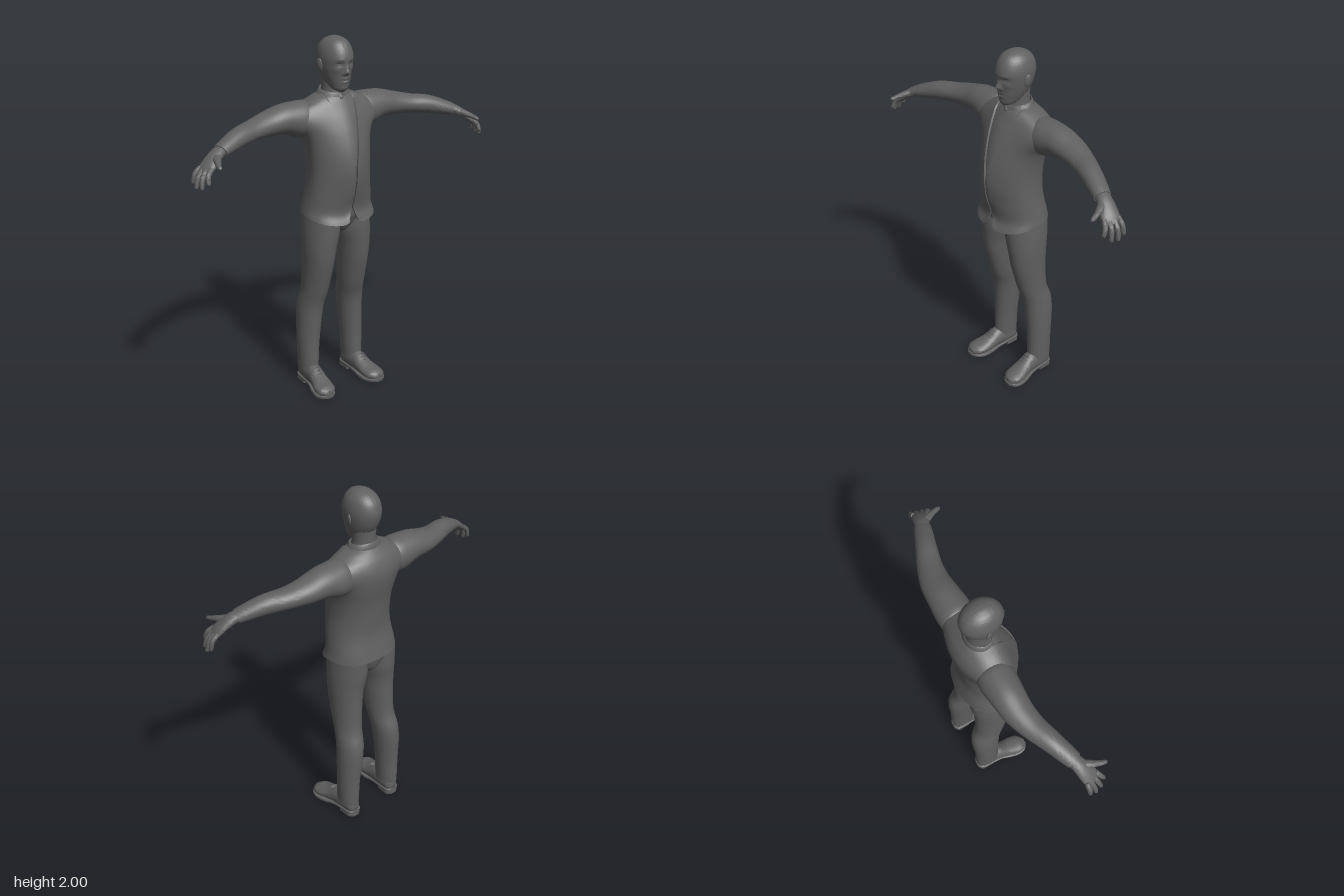
import * as THREE from 'three';
import { toCreasedNormals } from 'three/addons/utils/BufferGeometryUtils.js';

const V = (x, y, z) => new THREE.Vector3(x, y, z);
const Y = V(0, 1, 0), Z = V(0, 0, 1);
const grey = new THREE.MeshStandardMaterial({ color: 0x606060 });
const cloth = new THREE.MeshStandardMaterial({ color: 0x606060, side: THREE.DoubleSide });

// Lofts superellipse sections along rows of [x, y, z, halfWidth, halfDepth, exponent = 2].
// normal: fixed section normal (default: path tangent); ref: direction of the half depth.
// opening(y): half width of a front slit; rule(v): moves a finished vertex.
function sweep(rows, { normal, ref = Z, n = 32, steps = 6, opening, rule, crease = 1 } = {}) {
  const centres = new THREE.CatmullRomCurve3(rows.map(r => V(r[0], r[1], r[2])), false, 'catmullrom', 0.5);
  const sizes = new THREE.CatmullRomCurve3(rows.map(r => V(r[3], r[4], r[5] ?? 2)), false, 'catmullrom', 0.5);
  const m = (rows.length - 1) * steps, cols = opening ? n + 1 : n;
  const pos = [], idx = [];
  const add = p => { if (rule) rule(p); pos.push(p.x, p.y, p.z); };
  const power = (t, e) => Math.sign(t) * Math.pow(Math.abs(t), 2 / e);
  for (let i = 0; i <= m; i++) {
    const c = centres.getPoint(i / m), s = sizes.getPoint(i / m);
    const dir = normal ?? centres.getTangent(i / m);
    const v = ref.clone().addScaledVector(dir, -ref.dot(dir)).normalize();
    const u = dir.clone().cross(v);
    const gap = opening ? Math.asin(Math.pow(Math.min(opening(c.y) / s.x, 0.97), s.z / 2)) : 0;
    for (let j = 0; j < cols; j++) {
      // the outermost columns of an open section turn inwards as a rim
      const k = opening ? THREE.MathUtils.clamp((j - 1) / (n - 2), 0, 1) : j / n;
      const inset = opening && (j === 0 || j === n) ? 0.013 : 0;
      const a = gap + k * 2 * (Math.PI - gap);
      add(c.clone()
        .addScaledVector(u, Math.max(s.x - inset, 0.001) * power(Math.sin(a), s.z))
        .addScaledVector(v, Math.max(s.y - inset, 0.001) * power(Math.cos(a), s.z)));
    }
  }
  for (let i = 0; i < m; i++) for (let j = 0; j < n; j++) {
    const k = (j + 1) % cols, a = i * cols + j, b = i * cols + k;
    idx.push(a, b, b + cols, a, b + cols, a + cols);
  }
  if (!opening) {
    const lo = pos.length / 3;
    add(centres.getPoint(0));
    add(centres.getPoint(1));
    for (let j = 0; j < n; j++) {
      const k = (j + 1) % n;
      idx.push(lo, k, j, lo + 1, m * n + j, m * n + k);
    }
  }
  const g = new THREE.BufferGeometry();
  g.setAttribute('position', new THREE.Float32BufferAttribute(pos, 3));
  g.setIndex(idx);
  return toCreasedNormals(g, crease);
}

// Body rule: narrower front, flare into the sleeves, hem lower at the front with rounded corners
function shapeBody(p) {
  const hem = THREE.MathUtils.clamp((1.2 - p.y) / 0.15, 0, 1), ax = Math.abs(p.x);
  if (p.z > 0) p.z *= 1 - 1.5 * ax * (1 - hem);
  p.x *= 1 + 0.3 * Math.exp(-(((p.y - 1.595) / 0.075) ** 2)) * THREE.MathUtils.smoothstep(ax, 0.08, 0.2);
  p.y -= hem * (p.z > 0 ? 0.25 * p.z : 0.02 * p.z);
  if (p.z > 0) p.y += hem * 0.04 * Math.max(0, 1 - ax / 0.07) ** 2;
}

export function createModel() {
  const model = new THREE.Group();
  const part = (name, geometry, parent = model, material = grey) => {
    const mesh = new THREE.Mesh(geometry, material);
    mesh.name = name;
    parent.add(mesh);
    return mesh;
  };
  const ball = (name, x, y, z, sx, sy, sz, parent) => {
    const b = part(name, new THREE.SphereGeometry(1, 20, 14), parent);
    b.position.set(x, y, z);
    b.scale.set(sx, sy, sz);
    return b;
  };

  // Shirt and jacket share one body profile
  const body = [
    [0, 1.05, -0.015, 0.2, 0.16, 2.3], [0, 1.1, -0.02, 0.19, 0.146, 2.3],
    [0, 1.2, 0.003, 0.176, 0.153, 2.3], [0, 1.3, 0.007, 0.169, 0.162, 2.2],
    [0, 1.4, -0.003, 0.174, 0.162, 2.2], [0, 1.5, -0.027, 0.19, 0.157, 2.2],
    [0, 1.58, -0.047, 0.197, 0.142, 2.2], [0, 1.64, -0.055, 0.18, 0.115, 2.2],
    [0, 1.68, -0.052, 0.13, 0.088, 2.1], [0, 1.702, -0.05, 0.08, 0.068, 2],
  ];
  const grown = d => body.map(r => [r[0], r[1], r[2], r[3] + d, r[4] + d, r[5]]);
  part('shirt', sweep(grown(-0.004).slice(1), { normal: Y, n: 48, rule: shapeBody }));
  const slit = y => 0.004 + (y > 1.33 ? 0.083 * (y - 1.33) / 0.37 : Math.max(0, 1.1 - y) * 0.5);
  part('jacket', sweep(grown(0.007), { normal: Y, n: 72, opening: slit, rule: shapeBody }), model, cloth);
  part('collar', sweep([
    [0, 1.685, -0.05, 0.098, 0.08], [0, 1.705, -0.05, 0.09, 0.076],
    [0, 1.722, -0.05, 0.077, 0.07], [0, 1.715, -0.05, 0.069, 0.066],
  ], { normal: Y, n: 40, steps: 4, opening: () => 0.012, rule: p => { p.y -= 0.15 * (p.z + 0.06); } }), model, cloth);
  ball('collarButton', 0, 1.682, 0.03, 0.011, 0.011, 0.006);

  // Head: facial relief is a sum of soft bumps [x, y, widthX, widthY, height]
  const bumps = [
    [0, 1.823, 0.012, 0.013, 0.021], [0, 1.845, 0.009, 0.02, 0.013],
    [0.013, 1.817, 0.007, 0.008, 0.007], [0.034, 1.867, 0.018, 0.012, -0.008],
    [0.034, 1.889, 0.02, 0.008, 0.003], [0, 1.787, 0.018, 0.006, 0.005],
    [0, 1.778, 0.02, 0.003, -0.004], [0, 1.769, 0.015, 0.006, 0.005],
    [0, 1.738, 0.018, 0.012, 0.004], [0.05, 1.835, 0.016, 0.014, 0.003],
  ];
  const head = new THREE.Group();
  head.name = 'head';
  model.add(head);
  part('skull', sweep([
    [0, 1.716, 0.03, 0.018, 0.018], [0, 1.73, 0.012, 0.043, 0.046],
    [0, 1.76, -0.012, 0.06, 0.077], [0, 1.8, -0.026, 0.075, 0.095],
    [0, 1.85, -0.034, 0.086, 0.109], [0, 1.9, -0.035, 0.089, 0.115],
    [0, 1.95, -0.036, 0.077, 0.098], [0, 1.981, -0.033, 0.053, 0.068],
    [0, 1.996, -0.032, 0.023, 0.031], [0, 2, -0.032, 0.004, 0.005],
  ], {
    normal: Y, n: 96, steps: 10, crease: 1.4,
    rule: p => {
      if (p.z < 0) return;
      const { x, y } = p;
      for (const [bx, by, wx, wy, h] of bumps)
        p.z += h * Math.exp(-(((Math.abs(x) - bx) / wx) ** 2) - ((y - by) / wy) ** 2);
    },
  }), head);
  part('neck', sweep([[0, 1.66, -0.05, 0.073, 0.068], [0, 1.72, -0.052, 0.062, 0.063], [0, 1.79, -0.052, 0.062, 0.064]],
    { normal: Y }), head);

  // Seat of the trousers
  part('hips', sweep([
    [0, 0.92, -0.035, 0.012, 0.05], [0, 0.945, -0.034, 0.04, 0.085], [0, 0.975, -0.034, 0.095, 0.108],
    [0, 1.01, -0.033, 0.165, 0.122], [0, 1.05, -0.03, 0.19, 0.133, 2.3], [0, 1.12, -0.025, 0.178, 0.135, 2.3],
  ], { normal: Y, n: 40 }));

  for (const s of [1, -1]) {
    const side = s > 0 ? 'left' : 'right';
    const mirror = rows => rows.map(r => [r[0] * s, ...r.slice(1)]);
    const group = name => {
      const g = new THREE.Group();
      g.name = side + name;
      model.add(g);
      return g;
    };

    // Ears and eyes
    ball(side + 'Ear', s * 0.089, 1.855, -0.04, 0.009, 0.034, 0.02, head).rotation.set(-0.15, s * -0.3, s * -0.12);
    ball(side + 'Eye', s * 0.034, 1.866, 0.052, 0.015, 0.006, 0.0085, head);

    // Sleeve
    const arm = group('Arm');
    part('sleeve', sweep(mirror([
      [0.08, 1.595, -0.063, 0.07, 0.06], [0.15, 1.575, -0.065, 0.09, 0.092],
      [0.21, 1.578, -0.067, 0.098, 0.098], [0.3, 1.589, -0.069, 0.09, 0.081],
      [0.4, 1.579, -0.065, 0.08, 0.065], [0.5, 1.567, -0.042, 0.067, 0.053],
      [0.6, 1.555, -0.005, 0.057, 0.051], [0.69, 1.532, 0.03, 0.05, 0.041],
      [0.738, 1.517, 0.049, 0.045, 0.034],
    ]), { ref: Y, n: 36 }), arm);

    // Hand with four fingers and a thumb
    part('palm', sweep(mirror([
      [0.715, 1.527, 0.04, 0.036, 0.028], [0.76, 1.51, 0.057, 0.04, 0.028],
      [0.8, 1.485, 0.073, 0.047, 0.024], [0.835, 1.456, 0.086, 0.049, 0.019],
      [0.856, 1.436, 0.094, 0.04, 0.012],
    ]), { ref: Y, n: 24 }), arm);
    const fingers = [
      ['indexFinger', 0.862, 1.39, 0.156], ['middleFinger', 0.886, 1.365, 0.127],
      ['ringFinger', 0.898, 1.36, 0.09], ['littleFinger', 0.896, 1.38, 0.055],
    ];
    fingers.forEach(([name, x, y, z], i) => {
      const root = V(0.823 + 0.009 * i, 1.46, 0.119 - 0.022 * i), tip = V(x, y, z);
      const mid = root.clone().lerp(tip, 0.5).add(V(0.01, 0.009, 0));
      const end = tip.clone().lerp(mid, 0.15);
      part(name, sweep(mirror([
        [...root, 0.014, 0.014], [...mid, 0.0135, 0.0135], [...end, 0.0105, 0.0105], [...tip, 0.003, 0.003],
      ]), { n: 14 }), arm);
    });
    part('thumb', sweep(mirror([
      [0.76, 1.508, 0.065, 0.02, 0.018], [0.784, 1.498, 0.105, 0.021, 0.018],
      [0.803, 1.487, 0.15, 0.015, 0.013], [0.813, 1.478, 0.185, 0.011, 0.01], [0.815, 1.475, 0.195, 0.003, 0.003],
    ]), { ref: Y, n: 14 }), arm);

    // Trouser leg
    part(side + 'TrouserLeg', sweep(mirror([
      [0.15, 0.085, -0.09, 0.053, 0.074], [0.15, 0.11, -0.091, 0.054, 0.074],
      [0.147, 0.25, -0.093, 0.061, 0.074], [0.139, 0.4, -0.095, 0.068, 0.084],
      [0.131, 0.5, -0.087, 0.071, 0.088], [0.121, 0.6, -0.057, 0.073, 0.089],
      [0.115, 0.75, -0.035, 0.081, 0.107], [0.111, 0.85, -0.029, 0.089, 0.116],
      [0.1, 0.95, -0.031, 0.099, 0.127], [0.098, 1.05, -0.033, 0.094, 0.13],
    ]), { normal: Y, n: 36 }));

    // Shoe: upper, sole, heel and laces
    const shoe = group('Shoe');
    part('upper', sweep(mirror([
      [0.148, 0.06, -0.158, 0.018, 0.03], [0.148, 0.066, -0.135, 0.04, 0.055],
      [0.15, 0.07, -0.07, 0.046, 0.066], [0.153, 0.068, -0.01, 0.047, 0.06],
      [0.158, 0.055, 0.04, 0.052, 0.044], [0.165, 0.045, 0.09, 0.059, 0.034],
      [0.17, 0.041, 0.135, 0.053, 0.027], [0.172, 0.036, 0.162, 0.026, 0.017],
    ]), { normal: Z, ref: Y, n: 32, rule: p => { p.y = Math.max(p.y, 0.022); } }), shoe);
    part('sole', sweep(mirror([
      [0.148, 0.03, -0.162, 0.02, 0.007, 8], [0.148, 0.03, -0.142, 0.043, 0.008, 8],
      [0.15, 0.028, -0.07, 0.046, 0.008, 8], [0.154, 0.022, -0.01, 0.046, 0.009, 8],
      [0.16, 0.014, 0.04, 0.055, 0.01, 8], [0.167, 0.013, 0.1, 0.062, 0.01, 8],
      [0.171, 0.017, 0.145, 0.05, 0.01, 8], [0.172, 0.02, 0.17, 0.02, 0.009, 8],
    ]), { normal: Z, ref: Y, n: 32, crease: 0.7 }), shoe);
    part('heel', sweep(mirror([
      [0.148, 0.014, -0.162, 0.02, 0.014, 8], [0.148, 0.014, -0.142, 0.043, 0.014, 8],
      [0.149, 0.014, -0.11, 0.045, 0.014, 8], [0.15, 0.014, -0.07, 0.045, 0.014, 8],
    ]), { normal: Z, ref: Y, n: 32, crease: 0.7 }), shoe);
    for (const [z, y, w] of [[0.005, 0.126, 0.024], [0.022, 0.115, 0.022], [0.039, 0.102, 0.02]]) {
      const lace = new THREE.CatmullRomCurve3([-1, 0, 1].map(k => V(s * 0.156 + k * w, y - 0.008 * k * k, z)));
      part('lace', new THREE.TubeGeometry(lace, 10, 0.003, 6), shoe);
    }
  }
  return model;
}
